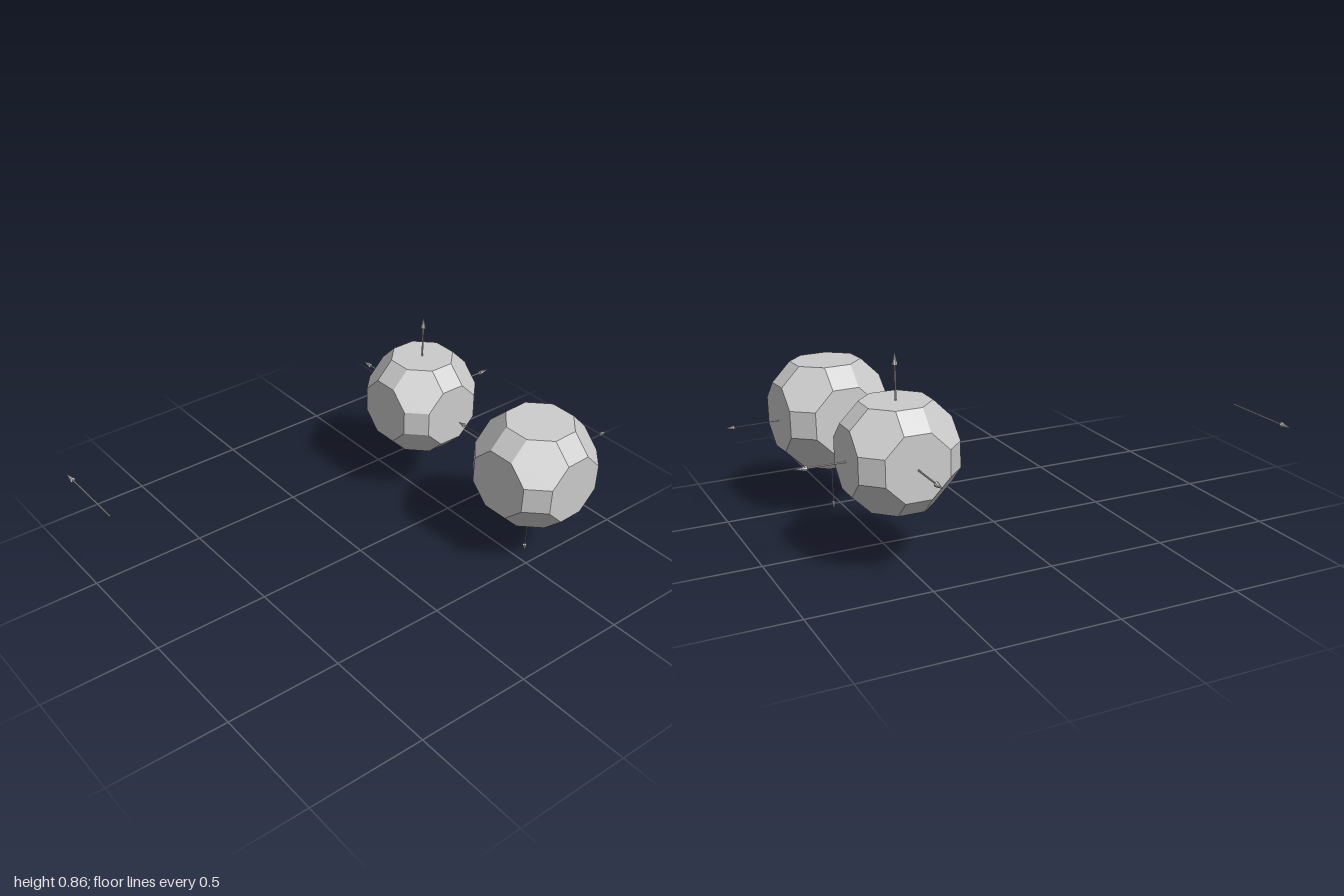
import * as THREE from 'three';
import { ConvexGeometry } from 'three/addons/geometries/ConvexGeometry.js';

const material = new THREE.MeshStandardMaterial({ color: 0xcccccc, flatShading: true });

// Truncated cuboctahedron: all permutations and signs of (1, 1+√2, 1+2√2)
function polyhedron(name, halfSize) {
  const s = halfSize / (1 + 2 * Math.SQRT2);
  const [a, b, c] = [s, s * (1 + Math.SQRT2), halfSize];
  const points = [];
  for (const [x, y, z] of [[a, b, c], [a, c, b], [b, a, c], [b, c, a], [c, a, b], [c, b, a]])
    for (const i of [-1, 1])
      for (const j of [-1, 1])
        for (const k of [-1, 1]) points.push(new THREE.Vector3(i * x, j * y, k * z));
  const mesh = new THREE.Mesh(new ConvexGeometry(points), material);
  mesh.name = name;
  return mesh;
}

// Arrow from the local origin along a direction: thin shaft and cone head
function arrow(name, direction, length, shaftRadius, headRadius, headLength) {
  const group = new THREE.Group();
  group.name = name;
  const shaftLength = length - headLength;
  const shaft = new THREE.Mesh(new THREE.CylinderGeometry(shaftRadius, shaftRadius, shaftLength, 8), material);
  shaft.name = 'shaft';
  shaft.position.y = shaftLength / 2;
  const head = new THREE.Mesh(new THREE.ConeGeometry(headRadius, headLength, 8), material);
  head.name = 'head';
  head.position.y = length - headLength / 2;
  group.add(shaft, head);
  group.quaternion.setFromUnitVectors(new THREE.Vector3(0, 1, 0), new THREE.Vector3(...direction));
  return group;
}

export function createModel() {
  const model = new THREE.Group();
  model.name = 'polyhedraWithAxes';

  // Rear solid, upright, with thicker axis arrows
  const rear = new THREE.Group();
  rear.name = 'rearSolid';
  rear.position.set(0.525, 0.461, -0.237);
  const rearBody = polyhedron('rearPolyhedron', 0.2036);
  rearBody.position.y = 0.006;
  rear.add(
    rearBody,
    arrow('sideAxis', [1, 0, 0], 0.403, 0.0035, 0.011, 0.05),
    arrow('upAxis', [0, 1, 0], 0.396, 0.0035, 0.011, 0.05),
    arrow('backAxis', [0, 0, -1], 0.412, 0.0035, 0.011, 0.05),
  );

  // Front solid, slightly larger and slightly turned, with thin axis arrows
  const front = new THREE.Group();
  front.name = 'frontSolid';
  front.position.set(0.552, 0.432, 0.45);
  front.rotation.set(0.036, 0.042, 0);
  const frontBody = polyhedron('frontPolyhedron', 0.2155);
  frontBody.position.set(0.005, 0.016, -0.005);
  front.add(
    frontBody,
    arrow('sideAxis', [1, 0, 0], 0.446, 0.0018, 0.009, 0.035),
    arrow('downAxis', [0, -1, 0], 0.432, 0.0018, 0.009, 0.035),
    arrow('backAxis', [0, 0, -1], 0.446, 0.0018, 0.009, 0.035),
  );

  // Lone arrow far off to the side
  const lone = arrow('loneArrow', [0, 0, -1], 0.362, 0.0035, 0.011, 0.055);
  lone.position.set(-0.99, 0.461, -0.298);

  model.add(rear, front, lone);
  return model;
}
